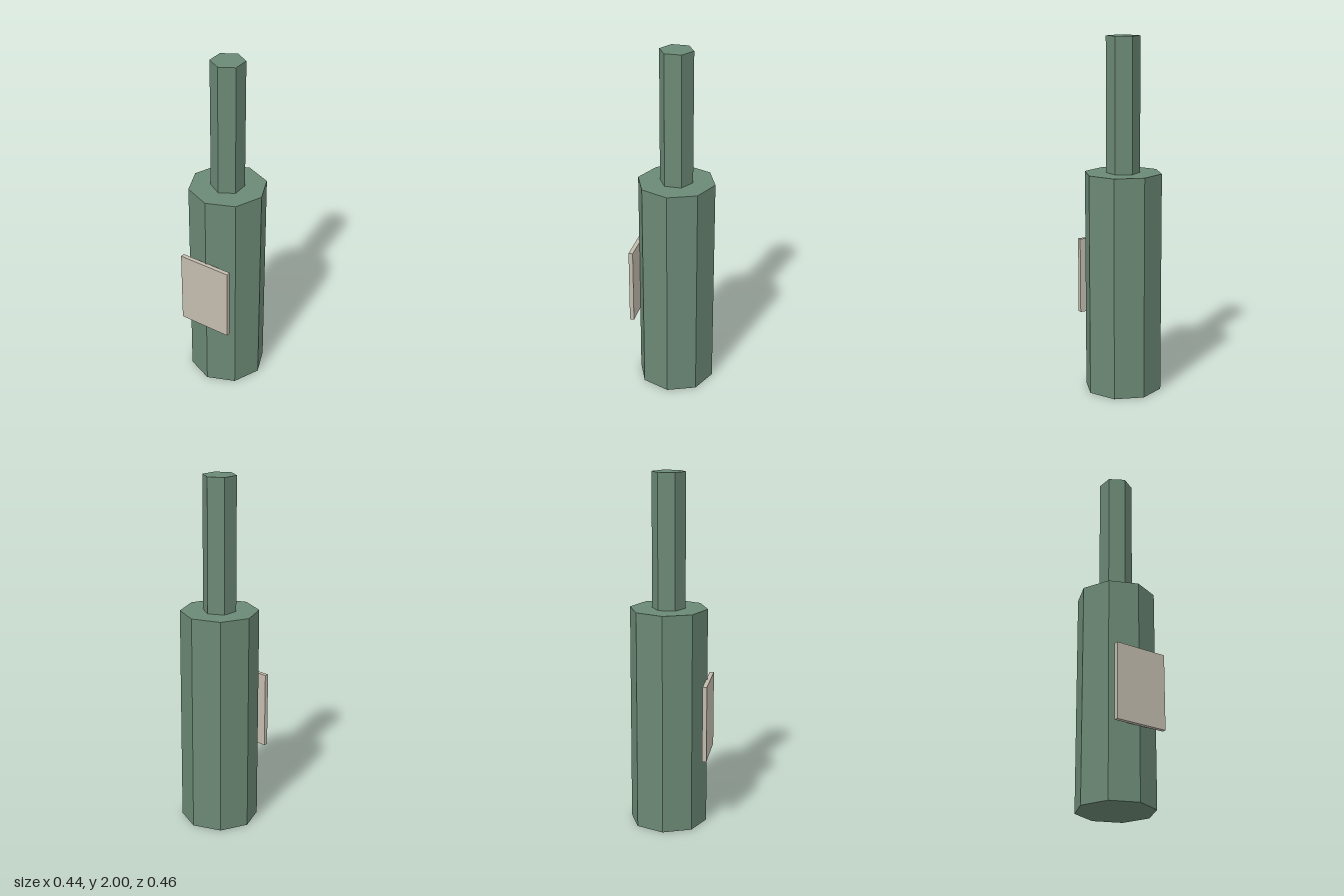
import * as THREE from 'three';

const AXIS_Z = -0.01;

export function createModel() {
  const model = new THREE.Group();
  model.name = 'bottle';

  const glass = new THREE.MeshStandardMaterial({ color: 0x6b8875 });
  glass.name = 'green glass';
  glass.flatShading = true;
  const paper = new THREE.MeshStandardMaterial({ color: 0xc2bbae });
  paper.name = 'label paper';
  paper.flatShading = true;

  // Upright faceted prism with one corner pointing to the front
  const prism = (name, radius, sides, bottom, top) => {
    const mesh = new THREE.Mesh(
      new THREE.CylinderGeometry(radius, radius, top - bottom, sides), glass);
    mesh.name = name;
    mesh.position.set(0, (bottom + top) / 2, AXIS_Z);
    model.add(mesh);
  };
  prism('body', 0.219, 8, 0, 1.25);
  prism('neck', 0.094, 6, 1.25, 2);

  // Flat label touching the front corner of the body
  const label = new THREE.Mesh(new THREE.BoxGeometry(0.312, 0.434, 0.024), paper);
  label.name = 'label';
  label.position.set(0, 0.63, 0.215);
  model.add(label);

  return model;
}
